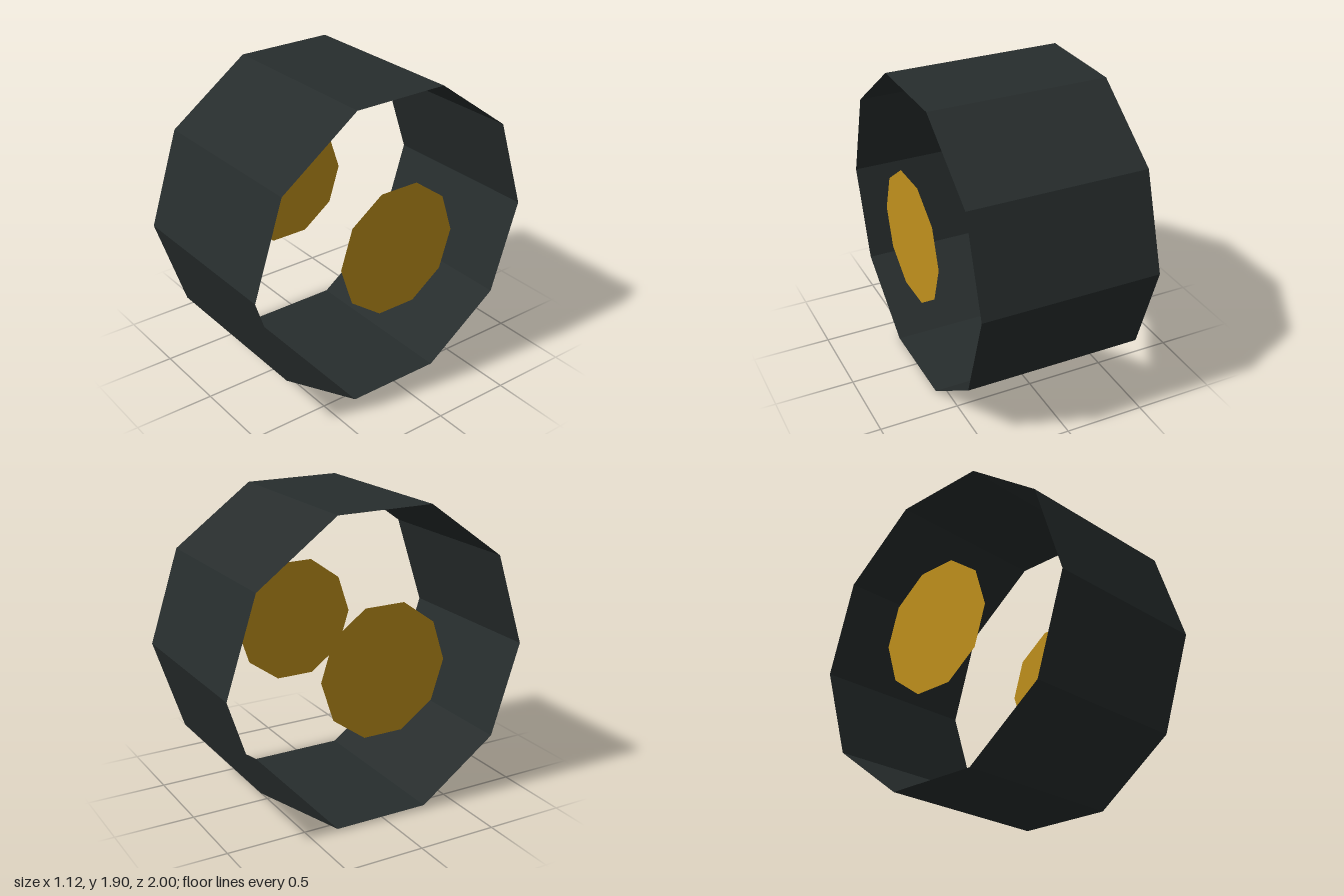
import * as THREE from 'three';

const SIDES = 10;
const WIDTH = 1.125;
const HUB_RADIUS = 0.418;
const CENTRE_Y = Math.sin(Math.PI * 0.4); // flat of the decagon rests on the ground

const makeMaterial = (color) =>
  new THREE.MeshStandardMaterial({ color, flatShading: true, side: THREE.DoubleSide });

export function createModel() {
  const wheel = new THREE.Group();
  wheel.name = 'wheel';

  // Thin open tread band, axle along x
  const treadGeometry = new THREE.CylinderGeometry(1, 1, WIDTH, SIDES, 1, true);
  treadGeometry.rotateZ(Math.PI / 2);
  const tread = new THREE.Mesh(treadGeometry, makeMaterial(0x272d2d));
  tread.name = 'tread';
  tread.position.y = CENTRE_Y;
  wheel.add(tread);

  // Flat hub discs, flush with each open end and facing outward
  const hubMaterial = makeMaterial(0xc0901c);
  for (const side of [1, -1]) {
    const hub = new THREE.Mesh(new THREE.CircleGeometry(HUB_RADIUS, SIDES), hubMaterial);
    hub.name = side > 0 ? 'leftHub' : 'rightHub';
    hub.rotation.y = side * Math.PI / 2;
    hub.position.set(side * WIDTH / 2, CENTRE_Y, 0);
    wheel.add(hub);
  }

  return wheel;
}
